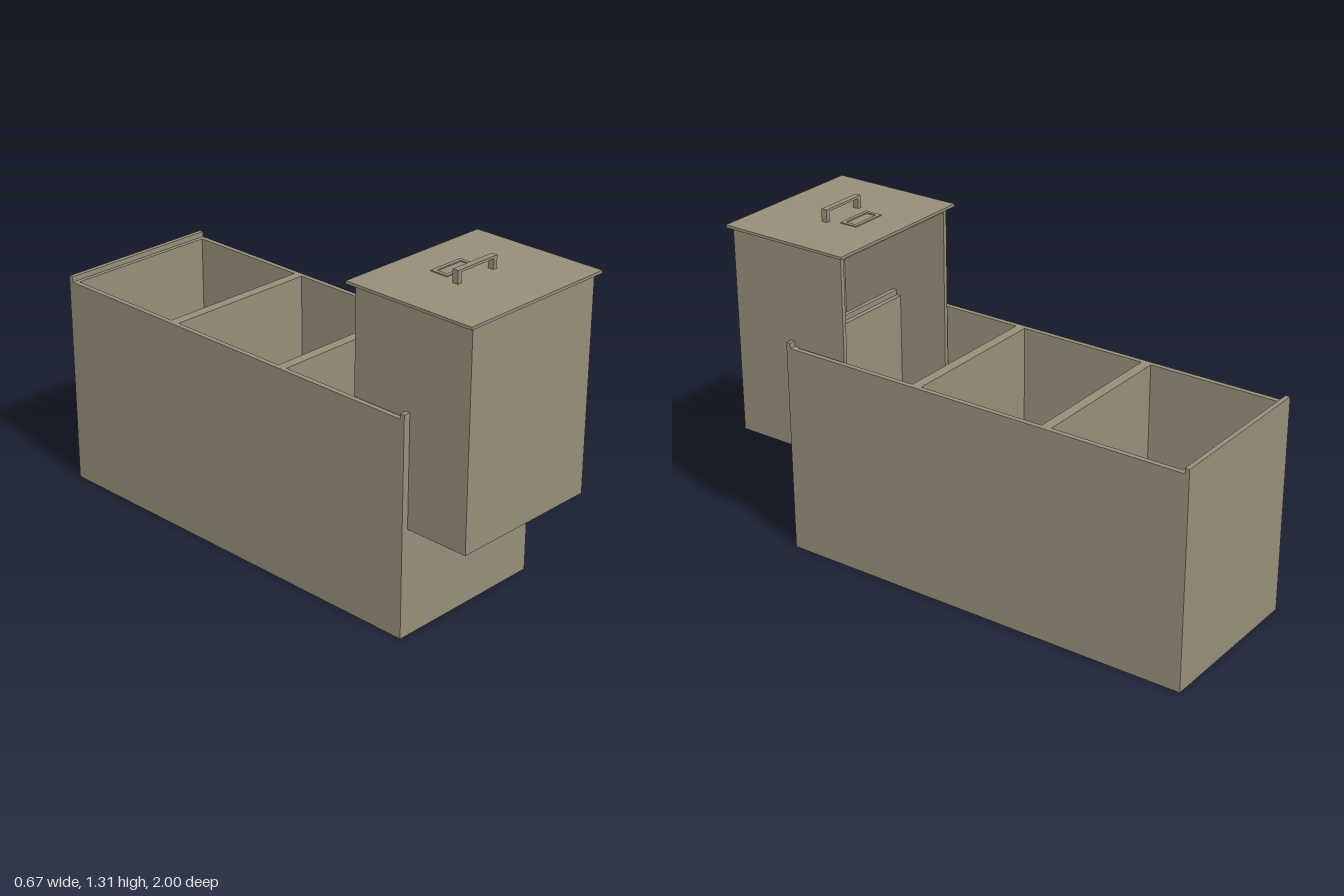
import * as THREE from 'three';

const clay = new THREE.MeshStandardMaterial({ color: 0x968e7a });
clay.name = 'khaki clay';

// Box given by its limits on each axis
function block(name, x0, x1, y0, y1, z0, z1) {
  const mesh = new THREE.Mesh(new THREE.BoxGeometry(x1 - x0, y1 - y0, z1 - z0), clay);
  mesh.position.set((x0 + x1) / 2, (y0 + y1) / 2, (z0 + z1) / 2);
  mesh.name = name;
  return mesh;
}

// Rectangle in plan, traced with y standing for -z
function trace(path, halfWidth, z0, z1) {
  path.moveTo(-halfWidth, -z1);
  path.lineTo(halfWidth, -z1);
  path.lineTo(halfWidth, -z0);
  path.lineTo(-halfWidth, -z0);
  path.closePath();
  return path;
}

// Plan rectangle with rectangular openings, raised from y0 to y1
function plan(name, outer, holes, y0, y1) {
  const shape = trace(new THREE.Shape(), ...outer);
  for (const h of holes) shape.holes.push(trace(new THREE.Path(), ...h));
  const geo = new THREE.ExtrudeGeometry(shape, { depth: y1 - y0, bevelEnabled: false });
  geo.rotateX(-Math.PI / 2);
  geo.translate(0, y0, 0);
  const mesh = new THREE.Mesh(geo, clay);
  mesh.name = name;
  return mesh;
}

export function createModel() {
  const model = new THREE.Group();
  model.name = 'compartmentTank';

  // Long tank with three compartments
  const tank = new THREE.Group();
  tank.name = 'tank';
  tank.add(
    plan('tankWalls', [0.337, -1, 0.727],
      [[0.317, -0.965, -0.442], [0.317, -0.402, 0.116], [0.317, 0.156, 0.69]], 0.02, 0.842),
    block('tankFloor', -0.337, 0.337, 0, 0.02, -1, 0.727),
    block('backLip', -0.337, 0.337, 0.842, 0.863, -1, -0.982),
    block('frontLip', -0.337, 0.337, 0.842, 0.863, 0.709, 0.727),
  );

  // Tall cabinet on the front end, open toward the tank
  const cabinet = new THREE.Group();
  cabinet.name = 'cabinet';
  const t = 0.017;
  cabinet.add(
    block('cabinetFront', -0.31, 0.31, 0.423, 1.25, 0.985 - t, 0.985),
    block('cabinetFloor', -0.31 + t, 0.31 - t, 0.423, 0.423 + t, 0.475, 0.985 - t),
    block('cabinetTop', -0.31 + t, 0.31 - t, 1.25 - t, 1.25, 0.475, 0.985 - t),
    block('cabinetLeftSide', 0.31 - t, 0.31, 0.423, 1.25, 0.475, 0.985 - t),
    block('cabinetRightSide', -0.31, -0.31 + t, 0.423, 1.25, 0.475, 0.985 - t),
  );

  // Overhanging lid with a raised label frame and a handle
  const lid = new THREE.Group();
  lid.name = 'lid';
  lid.add(
    block('lidPlate', -0.333, 0.333, 1.25, 1.261, 0.453, 1),
    plan('labelFrame', [0.075, 0.597, 0.67], [[0.06, 0.612, 0.655]], 1.261, 1.265),
    block('handleBar', -0.099, 0.099, 1.3, 1.31, 0.714, 0.738),
  );
  for (const [side, s] of [['Left', 1], ['Right', -1]]) {
    const post = block('handlePost' + side, -0.0085, 0.0085, 1.261, 1.3, 0.714, 0.738);
    post.position.x = s * 0.0905;
    lid.add(post);
  }

  model.add(tank, cabinet, lid);
  return model;
}
